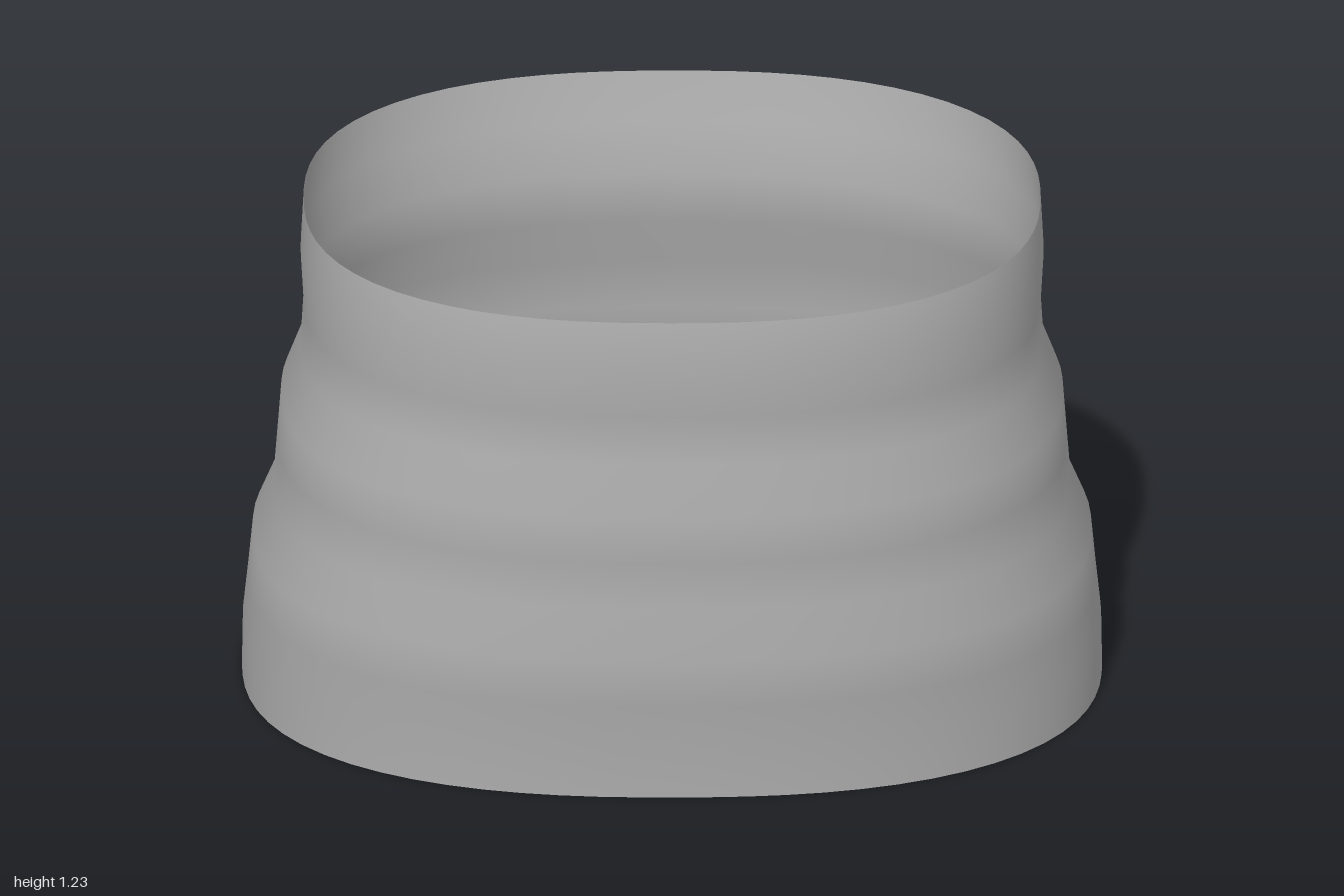
import * as THREE from 'three';

// Evenly spaced rings from bottom to top: [half width, front z, back z]
const RINGS = [
  [1.0, 0.716, -0.757],
  [0.998, 0.724, -0.757],
  [0.986, 0.742, -0.738],
  [0.975, 0.758, -0.72],
  [0.927, 0.736, -0.667],
  [0.918, 0.748, -0.657],
  [0.909, 0.758, -0.647],
  [0.864, 0.728, -0.602],
  [0.857, 0.736, -0.594],
  [0.864, 0.752, -0.62],
  [0.857, 0.74, -0.64],
];
const HEIGHT = 1.23;
const SEGMENTS = 72;
const ROUNDNESS = 2.4; // superellipse exponent of the rounded oval section

// Open sleeve: superellipse rings joined into one smooth band
function sleeveGeometry() {
  const positions = [];
  const indices = [];
  RINGS.forEach(([halfWidth, front, back], row) => {
    const y = (HEIGHT * row) / (RINGS.length - 1);
    const centre = (front + back) / 2;
    const halfDepth = (front - back) / 2;
    for (let i = 0; i < SEGMENTS; i++) {
      const angle = (i / SEGMENTS) * Math.PI * 2;
      const c = Math.cos(angle);
      const s = Math.sin(angle);
      const r = (Math.abs(c) ** ROUNDNESS + Math.abs(s) ** ROUNDNESS) ** (-1 / ROUNDNESS);
      positions.push(halfWidth * r * c, y, centre + halfDepth * r * s);
      if (row === 0) continue;
      const next = (i + 1) % SEGMENTS;
      const lower = (row - 1) * SEGMENTS;
      const upper = row * SEGMENTS;
      indices.push(lower + i, upper + i, lower + next);
      indices.push(upper + i, upper + next, lower + next);
    }
  });
  const geometry = new THREE.BufferGeometry();
  geometry.setAttribute('position', new THREE.Float32BufferAttribute(positions, 3));
  geometry.setIndex(indices);
  geometry.computeVertexNormals();
  return geometry;
}

export function createModel() {
  const grey = new THREE.MeshStandardMaterial({ color: 0xb0b0b0, side: THREE.DoubleSide });
  grey.name = 'grey';

  const sleeve = new THREE.Mesh(sleeveGeometry(), grey);
  sleeve.name = 'ribbedSleeve';

  const model = new THREE.Group();
  model.name = 'openRibbedBand';
  model.add(sleeve);
  return model;
}
